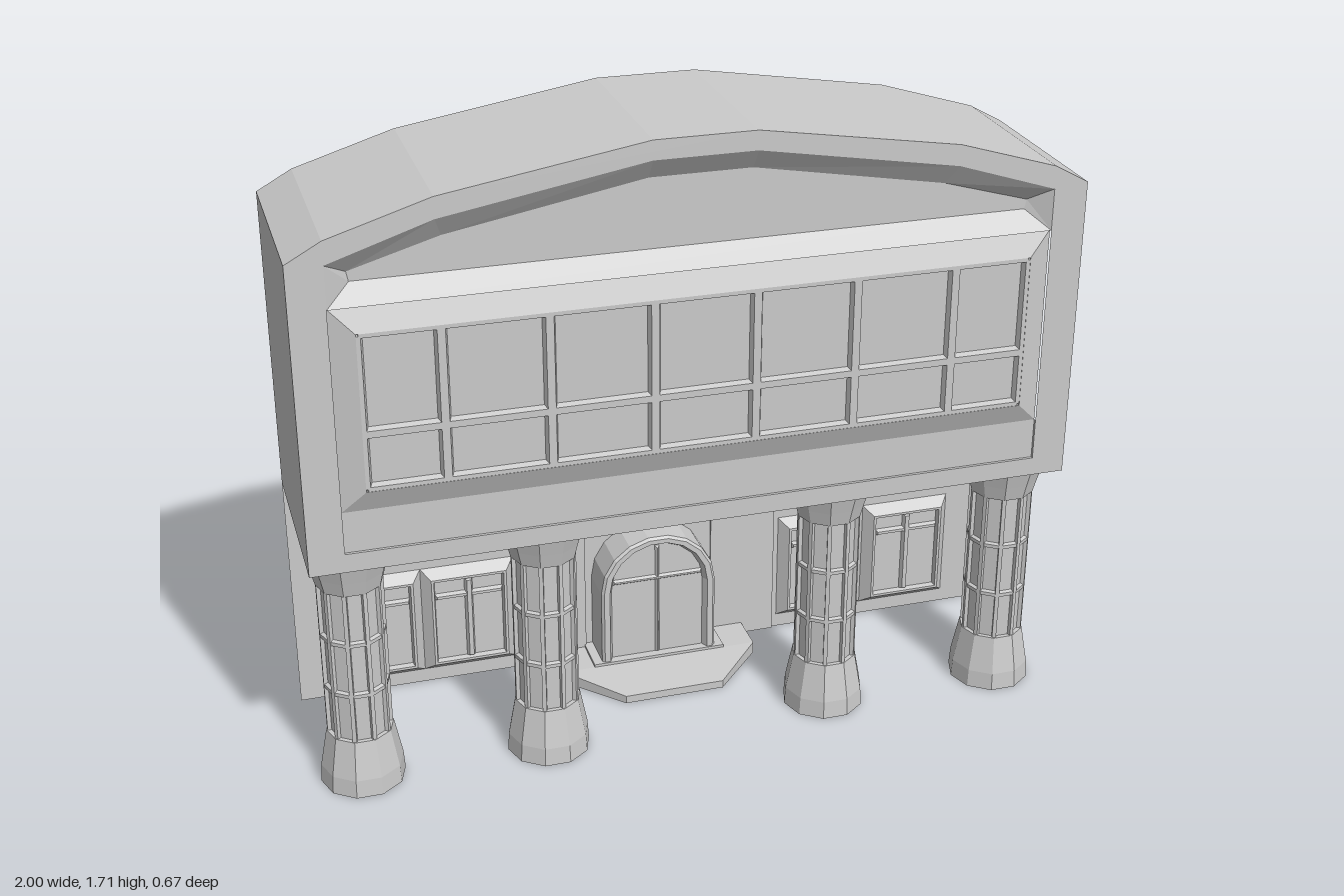
import * as THREE from 'three';

const mat = new THREE.MeshStandardMaterial({ color: 0xcccccc, flatShading: true });

// Skin a series of closed rings of [x, y, z]; optionally close the last ring.
function loft(rings, cap = true) {
  const pos = [];
  const tri = (...p) => p.forEach(q => pos.push(...q));
  for (let r = 0; r < rings.length - 1; r++) {
    const a = rings[r], b = rings[r + 1], n = a.length;
    for (let i = 0; i < n; i++) {
      const j = (i + 1) % n;
      tri(a[i], a[j], b[j]);
      tri(a[i], b[j], b[i]);
    }
  }
  const last = rings[rings.length - 1];
  if (cap) for (let i = 1; i < last.length - 1; i++) tri(last[0], last[i], last[i + 1]);
  const g = new THREE.BufferGeometry();
  g.setAttribute('position', new THREE.Float32BufferAttribute(pos, 3));
  g.computeVertexNormals();
  return g;
}

function add(parent, name, geometry, x = 0, y = 0, z = 0) {
  const m = new THREE.Mesh(geometry, mat);
  m.name = name;
  m.position.set(x, y, z);
  parent.add(m);
  return m;
}

const rect = (x0, x1, y0, y1, z) => [[x0, y0, z], [x1, y0, z], [x1, y1, z], [x0, y1, z]];
const atZ = (pts, z) => pts.map(([x, y]) => [x, y, z]);
const toShape = pts => new THREE.Shape(pts.map(([x, y]) => new THREE.Vector2(x, y)));
const mirrorArch = half => [...half, ...half.slice().reverse().map(([x, y]) => [-x, y])];

// Rectangle stepped through [inset, z] pairs
const stepped = (x0, x1, y0, y1, steps) =>
  loft(steps.map(([d, z]) => rect(x0 + d, x1 - d, y0 + d, y1 - d, z)));

// Bevelled glazing bar
const bar = (x0, x1, y0, y1, z0, z1) => stepped(x0, x1, y0, y1, [[0, z0], [0.006, z1]]);

function buildUpperStorey() {
  const g = new THREE.Group();
  g.name = 'upperStorey';
  const F = 0.32, B = -0.2, R = 0.28;
  const arch = mirrorArch([[1, 1.49], [0.91, 1.54], [0.65, 1.62], [0.13, 1.705]]);
  const outline = [[-1, 0.68], [1, 0.68], ...arch];
  const opening = mirrorArch([[0.91, 1.48], [0.65, 1.565], [0.13, 1.655]]);
  const innerArch = mirrorArch([[0.855, 1.445], [0.63, 1.51], [0.13, 1.6]]);

  // Outer shell and the back above the bulge
  add(g, 'shell', loft([atZ(outline, B), atZ(outline, F)], false));
  const backTop = [[-1, 1.36], [1, 1.36], ...arch];
  add(g, 'backGable', loft([atZ(backTop, B).reverse()]));

  // Front face with one opening for gable, window and panel
  const face = toShape(outline);
  face.holes.push(toShape([[-0.91, 0.73], [0.91, 0.73], ...opening]));
  add(g, 'frontFace', new THREE.ShapeGeometry(face), 0, 0, F);

  // Recessed gable with slanted reveal
  add(g, 'gableRecess', loft([
    atZ([[-0.91, 1.37], [0.91, 1.37], ...opening], F),
    atZ([[-0.85, 1.42], [0.85, 1.42], ...innerArch], R)]));

  // Shallow panel below the window
  add(g, 'apronPanel', loft([rect(-0.91, 0.91, 0.73, 0.84, F), rect(-0.91, 0.91, 0.73, 0.84, F - 0.008)]));

  // Projecting window band
  add(g, 'windowBand', stepped(-0.91, 0.91, 0.84, 1.37, [[0, F - 0.008], [0.06, 0.338], [0.06, 0.322]]));
  for (let i = -3; i <= 2; i++) {
    const x = (i + 0.5) * 0.26;
    add(g, 'mullion', bar(x - 0.016, x + 0.016, 0.9, 1.31, 0.322, 0.337));
  }
  add(g, 'transom', bar(-0.85, 0.85, 1.035, 1.065, 0.322, 0.337));
  for (const y of [0.905, 1.305]) add(g, 'windowRail', bar(-0.85, 0.85, y - 0.012, y + 0.012, 0.322, 0.337));
  for (const x of [-0.845, 0.845]) add(g, 'windowStile', bar(x - 0.012, x + 0.012, 0.9, 1.31, 0.322, 0.337));
  return g;
}

function buildSmallWindow(x0, y0, y1, transomY) {
  const g = new THREE.Group();
  g.name = 'smallWindow';
  const x1 = x0 + 0.26, c = x0 + 0.13;
  add(g, 'frame', stepped(x0, x1, y0, y1, [[0, -0.2], [0.025, -0.17], [0.032, -0.17], [0.036, -0.185]]));
  add(g, 'mullion', bar(c - 0.012, c + 0.012, y0 + 0.034, y1 - 0.034, -0.186, -0.172));
  add(g, 'transom', bar(x0 + 0.034, x1 - 0.034, transomY - 0.01, transomY + 0.01, -0.186, -0.174));
  return g;
}

function buildColumn(x) {
  const g = new THREE.Group();
  g.name = 'column';
  g.position.set(x, 0, 0.192);
  const core = 0.076, band = 0.085;
  const profile = [[0, 0], [0.111, 0], [0.108, 0.05], [0.088, 0.155], [core, 0.155]];
  for (const y of [0.29, 0.44]) {
    profile.push([core, y - 0.009], [band, y - 0.005], [band, y + 0.005], [core, y + 0.009]);
  }
  profile.push([core, 0.585], [0.086, 0.585], [0.096, 0.625], [0.111, 0.68]);
  const body = add(g, 'columnBody', new THREE.LatheGeometry(profile.map(p => new THREE.Vector2(...p)), 10));
  body.rotation.y = Math.PI / 10;
  // Ribs along the shaft corners
  for (let i = 0; i < 10; i++) {
    const a = (i + 0.5) * Math.PI / 5;
    const rib = add(g, 'rib', new THREE.BoxGeometry(0.011, 0.43, 0.014), Math.sin(a) * 0.078, 0.37, Math.cos(a) * 0.078);
    rib.rotation.y = a;
  }
  return g;
}

function buildEntrance() {
  const g = new THREE.Group();
  g.name = 'entrance';
  // Arched outline of half-width w and crown height h
  const archRing = (w, h, z) => {
    const pts = [[-w, 0.035, z], [w, 0.035, z]];
    for (let i = 0; i <= 9; i++) {
      const a = i * Math.PI / 9;
      pts.push([w * Math.cos(a), 0.26 + (h - 0.26) * Math.sin(a), z]);
    }
    return pts;
  };
  add(g, 'doorSurround', loft([
    archRing(0.165, 0.42, -0.2), archRing(0.165, 0.42, -0.092), archRing(0.158, 0.413, -0.085),
    archRing(0.142, 0.4, -0.085), archRing(0.132, 0.39, -0.105)]));
  add(g, 'doorMeetingBar', bar(-0.007, 0.007, 0.04, 0.385, -0.106, -0.097));
  add(g, 'doorTransom', bar(-0.13, 0.13, 0.275, 0.292, -0.106, -0.097));

  // Flanking wall panels
  for (const s of [-1, 1]) {
    add(g, 'flankPanel', new THREE.BoxGeometry(0.19, 0.43, 0.008), s * 0.28, 0.215, -0.197);
  }

  // Platform with chamfered front corners
  const plan = [[-0.28, -0.08], [-0.14, 0.07], [0.14, 0.07], [0.28, -0.08], [0.28, -0.2], [-0.28, -0.2]];
  const base = plan.map(([x, z]) => [x, 0, z]);
  const top = plan.map(([x, z]) => [x, z > 0 ? 0.022 : 0.034, z]);
  add(g, 'platform', loft([base, top]));
  add(g, 'platformUnderside', loft([base.slice().reverse()]));
  add(g, 'sill', new THREE.BoxGeometry(0.38, 0.02, 0.12), 0, 0.032, -0.14);
  return g;
}

export function createModel() {
  const model = new THREE.Group();
  model.name = 'building';
  model.add(buildUpperStorey());

  // Ground floor wall, upper storey underside and bulging back
  add(model, 'groundFloorWall', loft([rect(-1, 1, 0, 0.68, -0.2)]));
  add(model, 'soffit', loft([[[-1, 0.68, -0.2], [1, 0.68, -0.2], [1, 0.68, 0.32], [-1, 0.68, 0.32]]]));
  add(model, 'backBulge', loft([
    rect(-1, 1, 0, 1.36, -0.2).reverse(),
    rect(-0.76, 0.76, 0.16, 0.57, -0.335).reverse()]));

  // Ground floor windows: three above, two below on each side
  for (const x of [-0.91, -0.65, -0.39, 0.13, 0.39, 0.65]) {
    model.add(buildSmallWindow(x, 0.45, 0.67, 0.575));
    if (x !== -0.39 && x !== 0.13) model.add(buildSmallWindow(x, 0.04, 0.36, 0.275));
  }

  for (const x of [-0.889, -0.39, 0.39, 0.889]) model.add(buildColumn(x));
  model.add(buildEntrance());
  return model;
}
